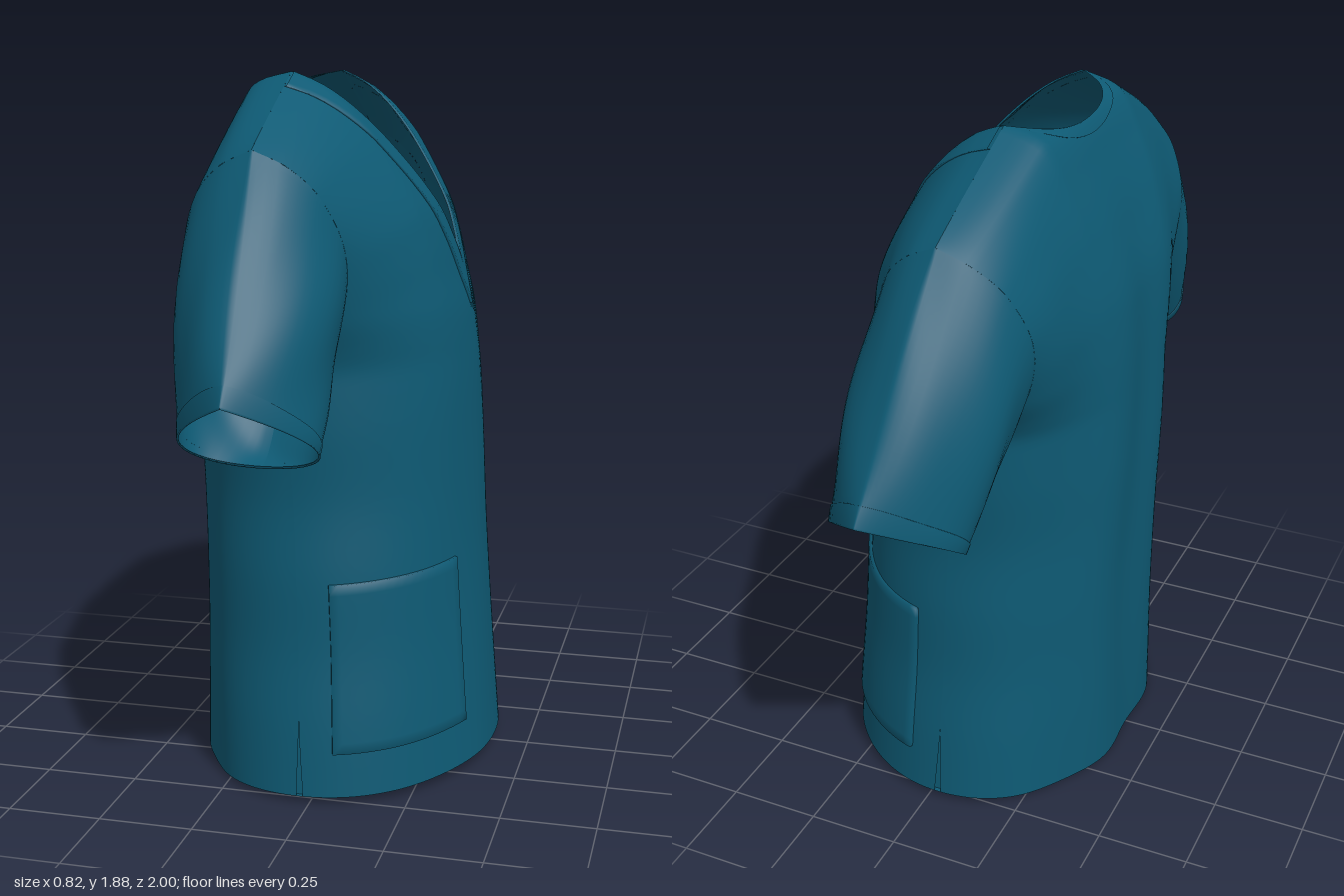
import * as THREE from 'three';

const lerp = (a, b, t) => a + (b - a) * t;

// Smooth curve through [position, value] pairs
function curve(p) {
  const slope = (i) => {
    const a = p[Math.max(i - 1, 0)], b = p[Math.min(i + 1, p.length - 1)];
    return (b[1] - a[1]) / (b[0] - a[0]);
  };
  return (y) => {
    if (y <= p[0][0]) return p[0][1];
    if (y >= p[p.length - 1][0]) return p[p.length - 1][1];
    let i = 0;
    while (y > p[i + 1][0]) i++;
    const h = p[i + 1][0] - p[i][0], t = (y - p[i][0]) / h, t2 = t * t, t3 = t2 * t;
    return (2 * t3 - 3 * t2 + 1) * p[i][1] + (t3 - 2 * t2 + t) * h * slope(i)
      + (3 * t2 - 2 * t3) * p[i + 1][1] + (t3 - t2) * h * slope(i + 1);
  };
}

// Garment profiles by height: half width, chest line, back line, seam line, armhole half opening
const halfWidth = curve([[0, 0.535], [0.2, 0.52], [0.4, 0.5], [0.6, 0.495], [0.8, 0.485], [1.0, 0.5],
  [1.3, 0.515], [1.45, 0.535], [1.6, 0.585], [1.71, 0.63], [1.89, 0.65]]);
const chest = curve([[0, 0.412], [0.6, 0.365], [0.9, 0.35], [1.1, 0.338], [1.26, 0.318], [1.36, 0.292],
  [1.45, 0.268], [1.55, 0.23], [1.7, 0.13], [1.8, 0.04], [1.86, -0.04], [1.89, -0.11]]);
const spine = curve([[0, -0.4], [0.6, -0.405], [1.0, -0.41], [1.4, -0.388], [1.6, -0.335],
  [1.75, -0.275], [1.85, -0.225], [1.875, -0.18], [1.89, -0.11]]);
const seam = curve([[0, -0.025], [0.8, -0.05], [1.3, -0.09], [1.89, -0.11]]);
const armhole = curve([[0, 0.01], [0.24, 0], [0.9, 0], [1.12, 0], [1.2, 0.11], [1.32, 0.18],
  [1.55, 0.205], [1.74, 0.155], [1.84, 0.08], [1.89, 0]]);
const opening = (side, h) => Math.max(0, armhole(h)) * (side > 0 ? 0.97 : 1.04);

const NECK = 0.4; // neck point as a share of the half width
const shoulderTop = (u) => 1.89 - 0.18 * Math.max(0, (Math.abs(u) - NECK) / (1 - NECK));
const profileHeight = (u, y) => (y < 1.2 ? y : 1.2 + (y - 1.2) * 0.69 / (shoulderTop(u) - 1.2));
const hem = (side, u) => (side > 0 ? 0.04 - 0.015 * u * u : 0.008 + 0.017 * u * u);

// Point on the cloth: side 1 is the front, -1 the back
function cloth(side, u, y, lift = 0) {
  const a = Math.min(Math.abs(u), 1), h = profileHeight(u, y);
  const depth = Math.max(1e-5, side * ((side > 0 ? chest(h) : spine(h)) - seam(h)));
  const ratio = Math.min(1, opening(side, h) / depth);
  const p = side > 0 ? 2.02 : 2.15;
  const round = Math.pow(Math.max(0, 1 - Math.pow(a, p) * (1 - Math.pow(ratio, p))), 1 / p);
  const fold = side > 0
    ? 0.015 * Math.sin(7 * u + 4 * y) * a
    : -0.025 * Math.cos(9 * u + Math.sin(3 * y)) * Math.min(1, (1.89 - h) * 3);
  const x = seam(y) + side * (depth * round * (1 + fold * (1 - Math.pow(a, 6))) + lift * Math.max(round, 0.4));
  return [x, y, u * halfWidth(y) + Math.sign(u) * lift * a];
}

// Grid surface from a rule
function surface(name, material, nu, nv, rule, flip) {
  const pos = [], index = [];
  for (let j = 0; j <= nv; j++) for (let i = 0; i <= nu; i++) pos.push(...rule(i / nu, j / nv, i, j));
  for (let j = 0; j < nv; j++) for (let i = 0; i < nu; i++) {
    const a = j * (nu + 1) + i, b = a + 1, c = a + nu + 1, d = c + 1;
    if (flip) index.push(a, c, b, b, c, d);
    else index.push(a, b, c, b, d, c);
  }
  const g = new THREE.BufferGeometry();
  g.setAttribute('position', new THREE.Float32BufferAttribute(pos, 3));
  g.setIndex(index);
  g.computeVertexNormals();
  const mesh = new THREE.Mesh(g, material);
  mesh.name = name;
  return mesh;
}

// Column positions, packed toward the side seams and landing on the neck points
function column(t) {
  const s = t * 2 - 1, a = Math.abs(s), edge = Math.asin(NECK);
  const angle = a < 0.3 ? lerp(0, edge, a / 0.3) : lerp(edge, Math.PI / 2, (a - 0.3) / 0.7);
  return Math.sign(s) * Math.min(1, Math.sin(angle));
}

export function createModel() {
  const teal = new THREE.MeshStandardMaterial({ color: 0x0e5a74, side: THREE.DoubleSide });
  teal.name = 'teal cotton';
  const model = new THREE.Group();
  model.name = 'shortSleeveTop';

  // Front and back panels with V neck and shallow back neck
  for (const side of [1, -1]) {
    const top = (u) => {
      const k = Math.abs(u) / NECK;
      if (k >= 1) return shoulderTop(u);
      return side > 0 ? lerp(1.4, 1.89, k) : 1.85 + 0.04 * k * k;
    };
    model.add(surface(side > 0 ? 'frontPanel' : 'backPanel', teal, 80, 90, (s, t) => {
      const u = column(s);
      return cloth(side, u, lerp(hem(side, u), top(u), 0.35 * t + 0.65 * Math.sin(t * Math.PI / 2)));
    }, side > 0));
  }

  // Closed underside at the hem
  model.add(surface('underside', teal, 80, 8, (s, t) => {
    const u = column(s);
    const back = cloth(-1, u, hem(-1, u)), front = cloth(1, u, hem(1, u));
    return back.map((v, i) => lerp(v, front[i], t));
  }, true));

  // Back neck band
  model.add(surface('backNeckBand', teal, 24, 3, (s, t, i, j) => {
    const u = lerp(-NECK, NECK, s), k = u / NECK;
    return cloth(-1, u, 1.85 + 0.04 * k * k - [0, 0, 0.03, 0.032][j] * (1 - k * k), [0, 0.005, 0.005, 0][j]);
  }, false));

  for (const s of [1, -1]) {
    const label = s > 0 ? 'left' : 'right';

    // V neck band
    model.add(surface(label + 'NeckBand', teal, 30, 6, (k, t, i, j) => {
      const w = [0, 0, 0.25, 0.5, 0.75, 0.98, 1][j];
      const u = lerp(NECK * k, 0.52 * k, w);
      const y = lerp(lerp(1.4, 1.89, k), lerp(1.27, shoulderTop(0.52), k), w);
      return cloth(1, s * u, y, j === 0 || j === 6 ? 0 : 0.008);
    }, s > 0));

    // Patch pocket, wrapping toward the side seam
    model.add(surface(label + 'Pocket', teal, 18, 18, (a, b, i, j) => {
      const rim = i === 0 || j === 0 || i === 18 || j === 18;
      const ca = Math.min(1, Math.max(0, (i - 1) / 16)), cb = Math.min(1, Math.max(0, (j - 1) / 16));
      const u = Math.sin(lerp(Math.asin(0.44), Math.asin(0.98), ca));
      const y = lerp(lerp(0.16, 0.145, ca), lerp(0.615, 0.595, ca), cb);
      return cloth(1, s * u, y, rim ? -0.002 : 0.01);
    }, s > 0));

    // Facing behind the side vent
    model.add(surface(label + 'VentFacing', teal, 1, 6, (a, t) => {
      const y = lerp(0.026, 0.25, t);
      return [seam(y) + lerp(-0.03, 0.03, a), y, s * (halfWidth(y) - 0.012)];
    }, s < 0));

    // Sleeve from the armhole to the slanted cuff, which narrows to a fold on top
    const sleevePoint = (f, t, grow = 0) => {
      const phi = (f + 0.5) * Math.PI * 2, c = Math.cos(phi), n = Math.sin(phi);
      const y0 = 1.42 + 0.29 * c, side = n < 0 ? -1 : 1;
      const x0 = seam(y0) + side * opening(side, profileHeight(1, y0));
      const x1 = -0.07 + n * lerp(0.168, 0.157 * Math.sqrt(1 - c), t * t);
      const swell = Math.sin(Math.PI * t);
      const out = swell * (0.008 + 0.006 * Math.sin(5 * phi + 5 * t)) + grow;
      const sag = 0.025 * swell * Math.max(0, -c);
      return [
        lerp(x0, x1, t) + out * n,
        lerp(y0, 1.055 + 0.105 * c, t) + out * c - sag,
        s * (lerp(halfWidth(y0), 0.845 + 0.155 * c, t) + swell * 0.005 * c),
      ];
    };
    model.add(surface(label + 'Sleeve', teal, 56, 28, (f, t) => sleevePoint(f, t), s > 0));
    model.add(surface(label + 'CuffHem', teal, 56, 3, (f, t, i, j) =>
      sleevePoint(f, [0.918, 0.922, 1, 1][j], [0, 0.003, 0.003, -0.003][j]), s > 0));
  }
  return model;
}
